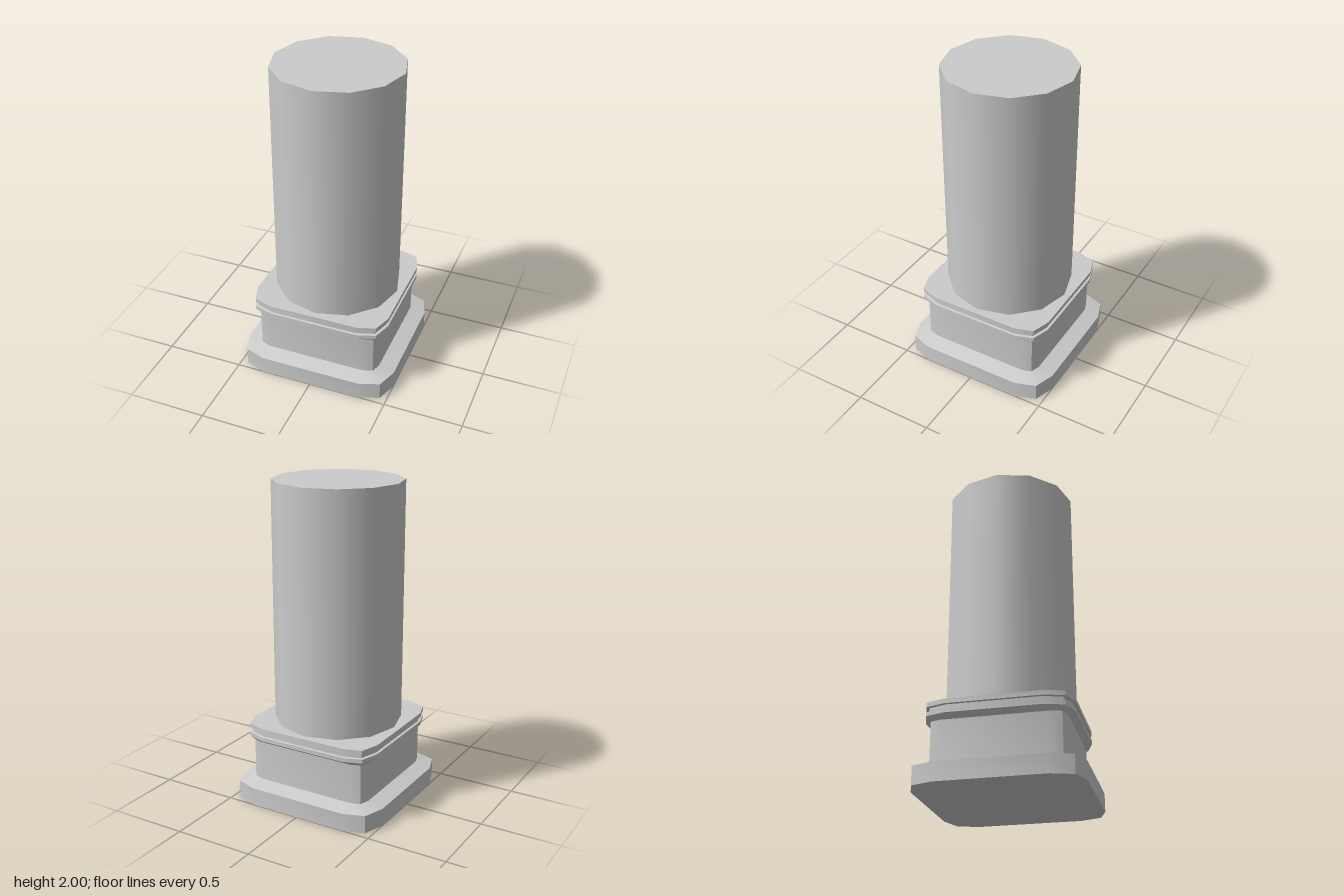
import * as THREE from 'three';
import { toCreasedNormals } from 'three/addons/utils/BufferGeometryUtils.js';

// Square outline with bevelled corners: half width h, corner point c, end of straight side e
function outline(h, c, e) {
  const pts = [];
  let quarter = [[h, e], [c, c], [e, h]];
  for (let k = 0; k < 4; k++) {
    pts.push(...quarter);
    quarter = quarter.map(([x, z]) => [-z, x]);
  }
  return pts;
}

// Closed solid through stacked outlines, each section is [y, h, c, e]
function loft(sections) {
  const pos = [], index = [], n = 12;
  for (const [y, h, c, e] of sections) {
    for (const [x, z] of outline(h, c, e)) pos.push(x, y, z);
  }
  for (let i = 0; i < sections.length - 1; i++) {
    for (let j = 0; j < n; j++) {
      const a = i * n + j, b = i * n + (j + 1) % n;
      index.push(a, a + n, b + n, a, b + n, b);
    }
  }
  const top = (sections.length - 1) * n;
  for (let j = 1; j < n - 1; j++) {
    index.push(0, j, j + 1, top, top + j + 1, top + j);
  }
  const geo = new THREE.BufferGeometry();
  geo.setAttribute('position', new THREE.Float32BufferAttribute(pos, 3));
  geo.setIndex(index);
  return toCreasedNormals(geo, 0.6);
}

export function createModel() {
  const group = new THREE.Group();
  const material = new THREE.MeshStandardMaterial({ color: 0xcccccc });
  const add = (name, geometry) => {
    const mesh = new THREE.Mesh(geometry, material);
    mesh.name = name;
    group.add(mesh);
    return mesh;
  };

  const wide = (y) => [y, 0.5, 0.455, 0.325];
  const rim = (y) => [y, 0.44, 0.402, 0.287];
  const groove = (y) => [y, 0.425, 0.388, 0.277];
  const block = (y) => [y, 0.4, 0.38, 0.32];

  // Pedestal: foot slab, sloped ledge, plain block, flared and grooved cap
  add('pedestal', loft([
    wide(0), wide(0.113), block(0.138), block(0.39),
    rim(0.417), rim(0.442), groove(0.444), groove(0.47), rim(0.472), rim(0.5),
  ]));

  // Twelve-sided smooth shaft
  const shaft = add('shaft', new THREE.CylinderGeometry(0.4, 0.4, 1.5, 12));
  shaft.position.y = 1.25;

  return group;
}
